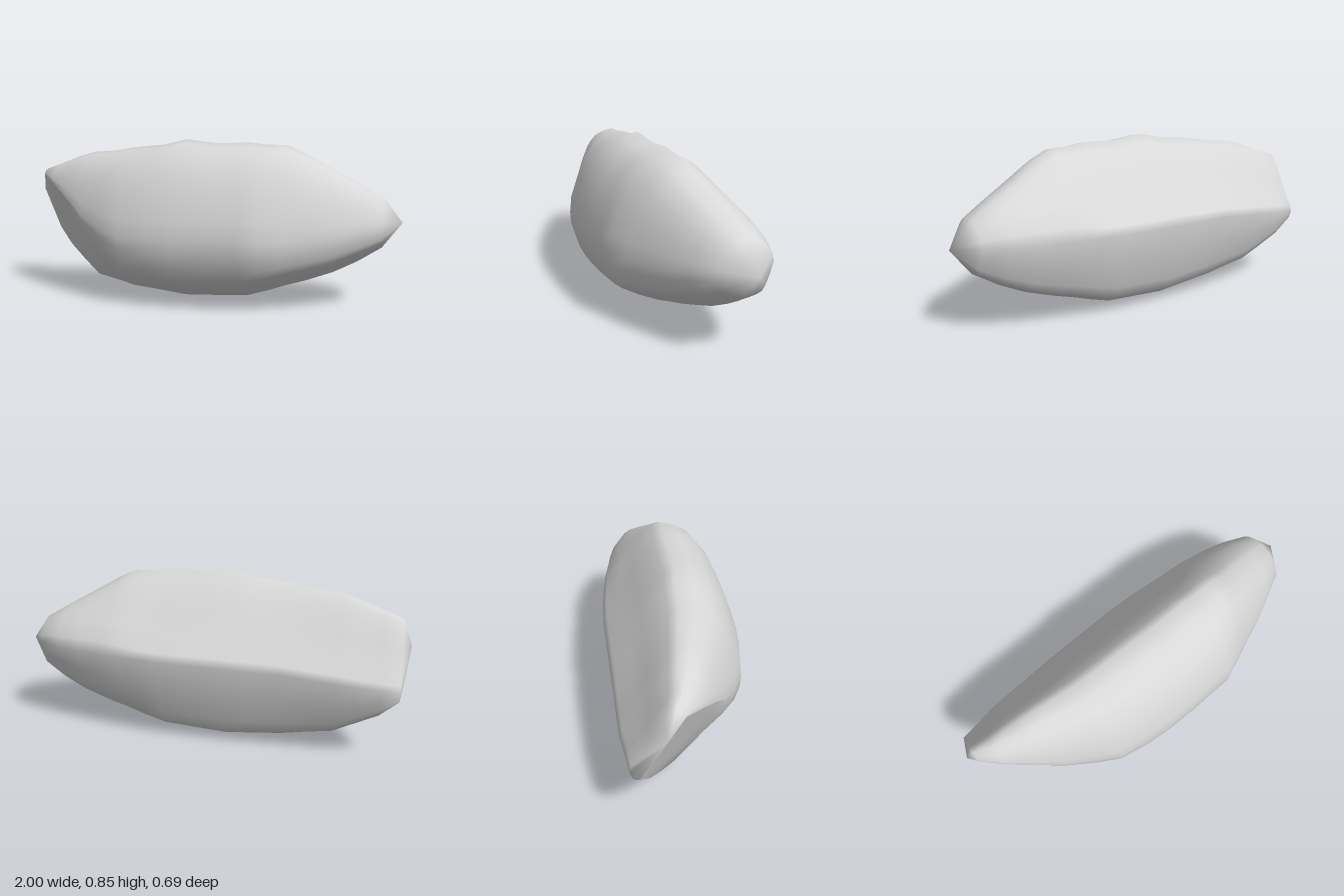
import * as THREE from 'three';

// Cross-sections along the stone:
// x, top y, ridge z, front z, front y, bottom y, keel z, back z
const sections = [
  [-0.96, 0.67, -0.13, -0.07, 0.64, 0.31, -0.26, -0.31],
  [-0.87, 0.70, -0.10, 0.015, 0.60, 0.22, -0.21, -0.32],
  [-0.76, 0.74, -0.08, 0.095, 0.53, 0.15, -0.14, -0.335],
  [-0.65, 0.77, -0.06, 0.165, 0.45, 0.08, -0.08, -0.338],
  [-0.52, 0.78, -0.04, 0.235, 0.39, 0.055, -0.06, -0.34],
  [-0.40, 0.80, -0.02, 0.295, 0.36, 0.03, -0.05, -0.343],
  [-0.24, 0.815, -0.01, 0.325, 0.36, 0.015, -0.05, -0.345],
  [-0.11, 0.845, 0, 0.337, 0.36, 0, -0.04, -0.347],
  [0.06, 0.825, 0, 0.342, 0.37, 0.01, -0.03, -0.349],
  [0.22, 0.832, 0, 0.338, 0.37, 0.02, -0.03, -0.342],
  [0.32, 0.82, 0, 0.335, 0.36, 0.05, -0.03, -0.333],
  [0.42, 0.82, 0, 0.295, 0.36, 0.085, -0.03, -0.322],
  [0.52, 0.775, 0, 0.255, 0.37, 0.115, -0.03, -0.31],
  [0.66, 0.695, -0.03, 0.20, 0.38, 0.165, -0.04, -0.283],
  [0.78, 0.63, -0.05, 0.14, 0.40, 0.225, -0.05, -0.25],
  [0.90, 0.56, -0.07, 0.08, 0.42, 0.30, -0.06, -0.20]
];

// Quadrant curves: [share of sideways reach, share of vertical reach]
const upperFront = [[0, 1], [0.26, 0.96], [0.49, 0.88], [0.7, 0.69], [0.84, 0.47], [0.97, 0.2]];
const lowerFront = [[1, 0], [0.99, 0.2], [0.92, 0.45], [0.82, 0.6], [0.58, 0.76], [0.28, 0.92]];
const lowerBack = [[0, 1], [0.24, 0.985], [0.46, 0.94], [0.63, 0.87], [0.74, 0.71], [0.87, 0.4]];
const upperBack = [[1, 0], [0.94, 0.1], [0.72, 0.31], [0.5, 0.57], [0.32, 0.76], [0.15, 0.91]];

const blend = (curve, target, t) => curve.map(([u, v]) => [u, v + (target(u) - v) * t]);
const straight = u => 1 - u;
const round = u => Math.sqrt(1 - u * u);

function ring([x, top, ridge, front, frontY, bottom, keel, back]) {
  const arc = (curve, z0, z1, y0, y1) =>
    curve.map(([u, v]) => [x, y0 + (y1 - y0) * v, z0 + (z1 - z0) * u]);
  // Flat undercut facet at one end, rounded dome at the other
  const flatness = THREE.MathUtils.clamp((-0.38 - x) / 0.38, 0, 1);
  const roundness = THREE.MathUtils.clamp((x - 0.3) / 0.65, 0, 1);
  // The back edge dips towards the facet end
  const backY = 0.42 + (x + 0.4) * (x < -0.4 ? 0.1 : 0.02);
  return [
    ...arc(upperFront, ridge, front, frontY, top),
    ...arc(blend(lowerFront, straight, flatness), keel, front, frontY, bottom),
    ...arc(lowerBack, keel, back, backY, bottom),
    ...arc(blend(upperBack, round, roundness), ridge, back, backY, top)
  ];
}

function stoneGeometry() {
  const rings = sections.map(ring);
  const n = rings[0].length;
  const points = rings.flat();
  const leftTip = points.push([-1, 0.55, -0.15]) - 1;
  const rightTip = points.push([1, 0.43, -0.07]) - 1;
  const index = [];
  const last = (rings.length - 1) * n;
  for (let j = 0; j < n; j++) {
    const k = (j + 1) % n;
    for (let r = 0; r < last; r += n) {
      index.push(r + j, r + k, r + n + j, r + n + j, r + k, r + n + k);
    }
    // Closed ends
    index.push(leftTip, k, j, rightTip, last + j, last + k);
  }
  const g = new THREE.BufferGeometry();
  g.setAttribute('position', new THREE.Float32BufferAttribute(points.flat(), 3));
  g.setIndex(index);
  g.computeVertexNormals();
  return g;
}

export function createModel() {
  const group = new THREE.Group();
  group.name = 'rock';
  const grey = new THREE.MeshStandardMaterial({ color: 0xd8d8d8 });
  grey.name = 'stone grey';
  const stone = new THREE.Mesh(stoneGeometry(), grey);
  stone.name = 'stone';
  group.add(stone);
  return group;
}
